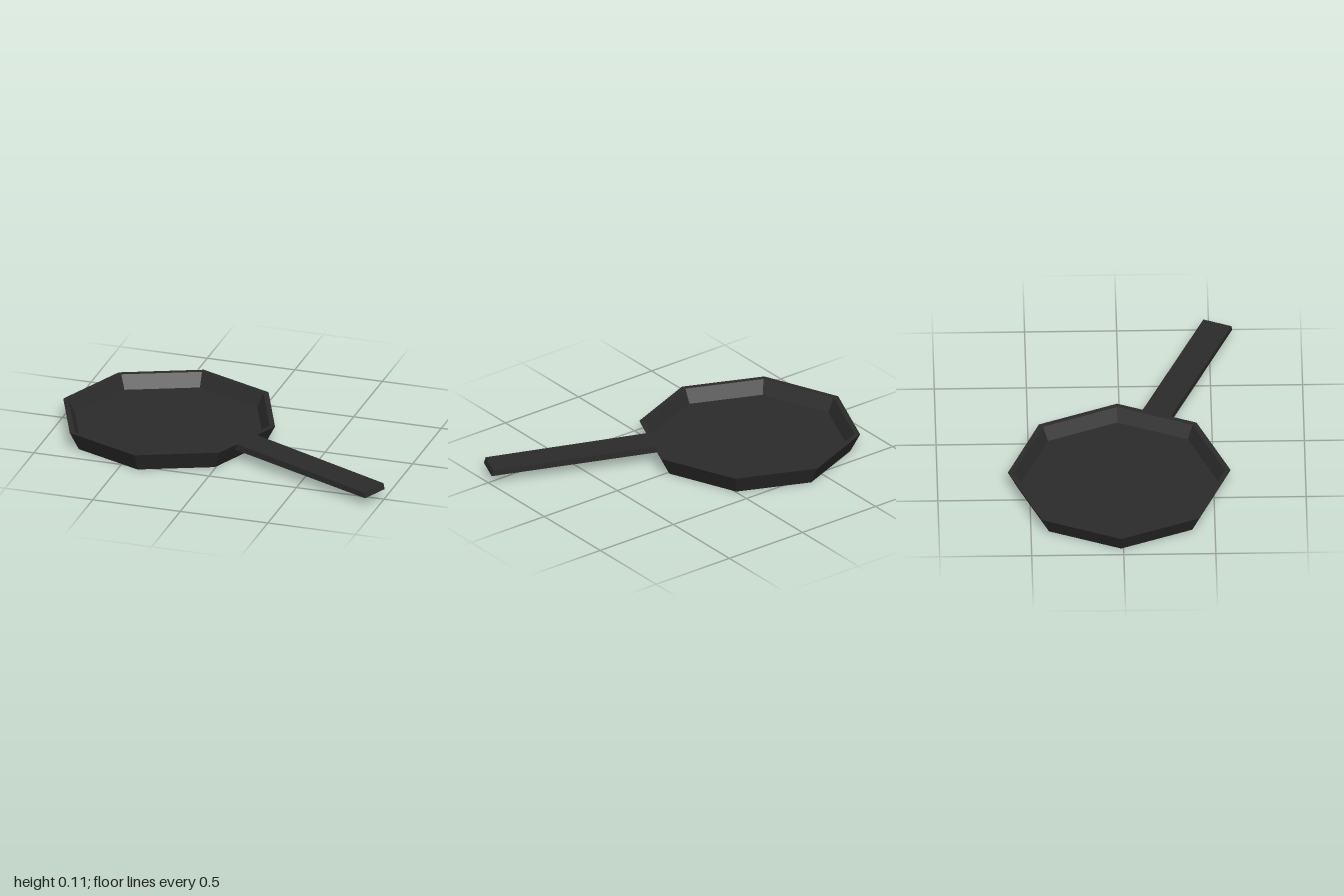
import * as THREE from 'three';

export function createModel() {
  const iron = new THREE.MeshStandardMaterial({ color: 0x2b2b2b, flatShading: true });
  iron.name = 'dark iron';

  const model = new THREE.Group();
  model.name = 'fryingPan';

  // Everything is laid out around the centre of the pan
  const pan = new THREE.Group();
  pan.name = 'pan';
  pan.position.set(-0.395, 0, -0.013);
  model.add(pan);

  // Eight-sided dish: underside, flared wall, rim, inner wall, floor
  const profile = [
    [0, 0], [0.55, 0], [0.605, 0.107], [0.575, 0.107], [0.537, 0.03], [0, 0.03],
  ].map(([r, y]) => new THREE.Vector2(r, y));
  const dish = new THREE.Mesh(new THREE.LatheGeometry(profile, 8), iron);
  dish.name = 'dish';
  pan.add(dish);

  // Flat handle, drooping slightly and tapering in thickness towards its end
  const side = new THREE.Shape([
    [0.535, 0.07], [1.472, 0.049], [1.462, 0.081], [0.556, 0.107],
  ].map(([x, y]) => new THREE.Vector2(x, y)));
  const width = 0.164;
  const handleGeometry = new THREE.ExtrudeGeometry(side, { depth: width, bevelEnabled: false });
  handleGeometry.translate(0, 0, -width / 2);
  const handle = new THREE.Mesh(handleGeometry, iron);
  handle.name = 'handle';
  handle.rotation.y = -Math.PI / 8; // square to one wall of the dish
  pan.add(handle);

  return model;
}
